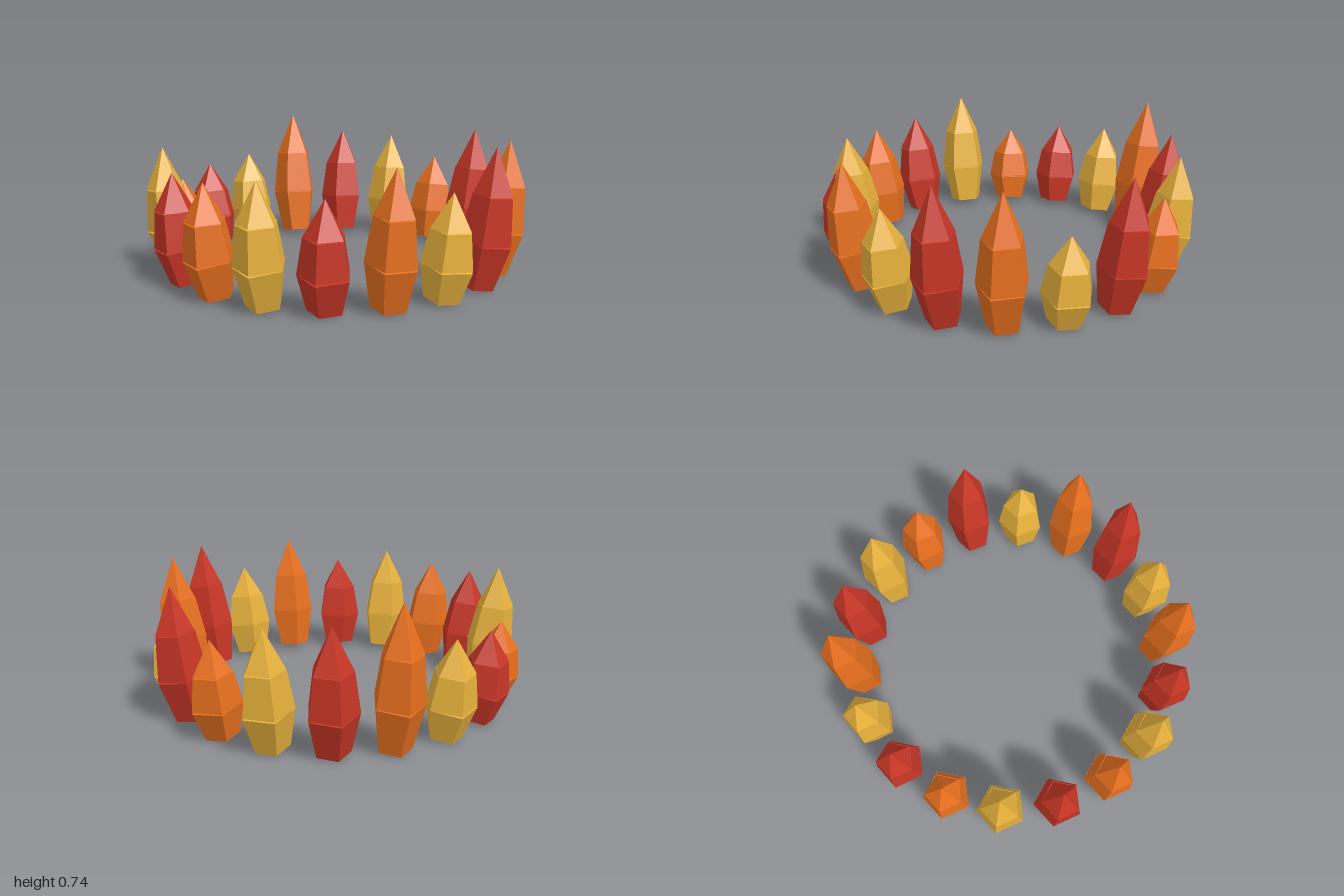
import * as THREE from 'three';

const RING = 0.83; // radius of the ring through the crystal bases
const RADII = [0.09, 0.131, 0.102, 0]; // pentagon radius at each joint, base to tip
const LEAN = [0.19, 0.12, 0.05]; // outward tilt of each segment
const SEGMENT_NAMES = ['lowerSegment', 'middleSegment', 'tip'];
const HEIGHTS = [
  0.67, 0.53, 0.71, 0.705, 0.465, 0.695, 0.5, 0.61, 0.635,
  0.735, 0.51, 0.48, 0.44, 0.655, 0.57, 0.565, 0.605, 0.535,
];

// Three five-sided segments, each leaning a little less than the one below,
// so that narrow gaps open on the outer side of the joints
function createCrystal(height, angle, material) {
  const crystal = new THREE.Group();
  const axis = new THREE.Vector3(Math.cos(angle), 0, -Math.sin(angle));
  const lift = RADII[0] * 0.9 * Math.sin(LEAN[0]);
  const length = (height - lift) / 2.97;
  const joint = new THREE.Vector3(RING * Math.sin(angle), lift, RING * Math.cos(angle));

  LEAN.forEach((lean, i) => {
    const geometry = new THREE.CylinderGeometry(
      RADII[i + 1], RADII[i], length, 5, 1, false, Math.PI);
    geometry.translate(0, length / 2, 0);
    const segment = new THREE.Mesh(geometry, material);
    segment.name = SEGMENT_NAMES[i];
    segment.position.copy(joint);
    segment.quaternion.setFromAxisAngle(axis, lean);
    crystal.add(segment);
    joint.add(new THREE.Vector3(0, length, 0).applyQuaternion(segment.quaternion));
  });
  return crystal;
}

export function createModel() {
  const model = new THREE.Group();
  model.name = 'crystalRing';

  // Orange, yellow and red repeat around the ring
  const materials = [0xe8701f, 0xe8b23c, 0xc83626].map(
    (color) => new THREE.MeshStandardMaterial({ color, flatShading: true }));

  HEIGHTS.forEach((height, k) => {
    const angle = (k / HEIGHTS.length) * Math.PI * 2;
    const crystal = createCrystal(height, angle, materials[k % 3]);
    crystal.name = `crystal${k + 1}`;
    model.add(crystal);
  });
  return model;
}
